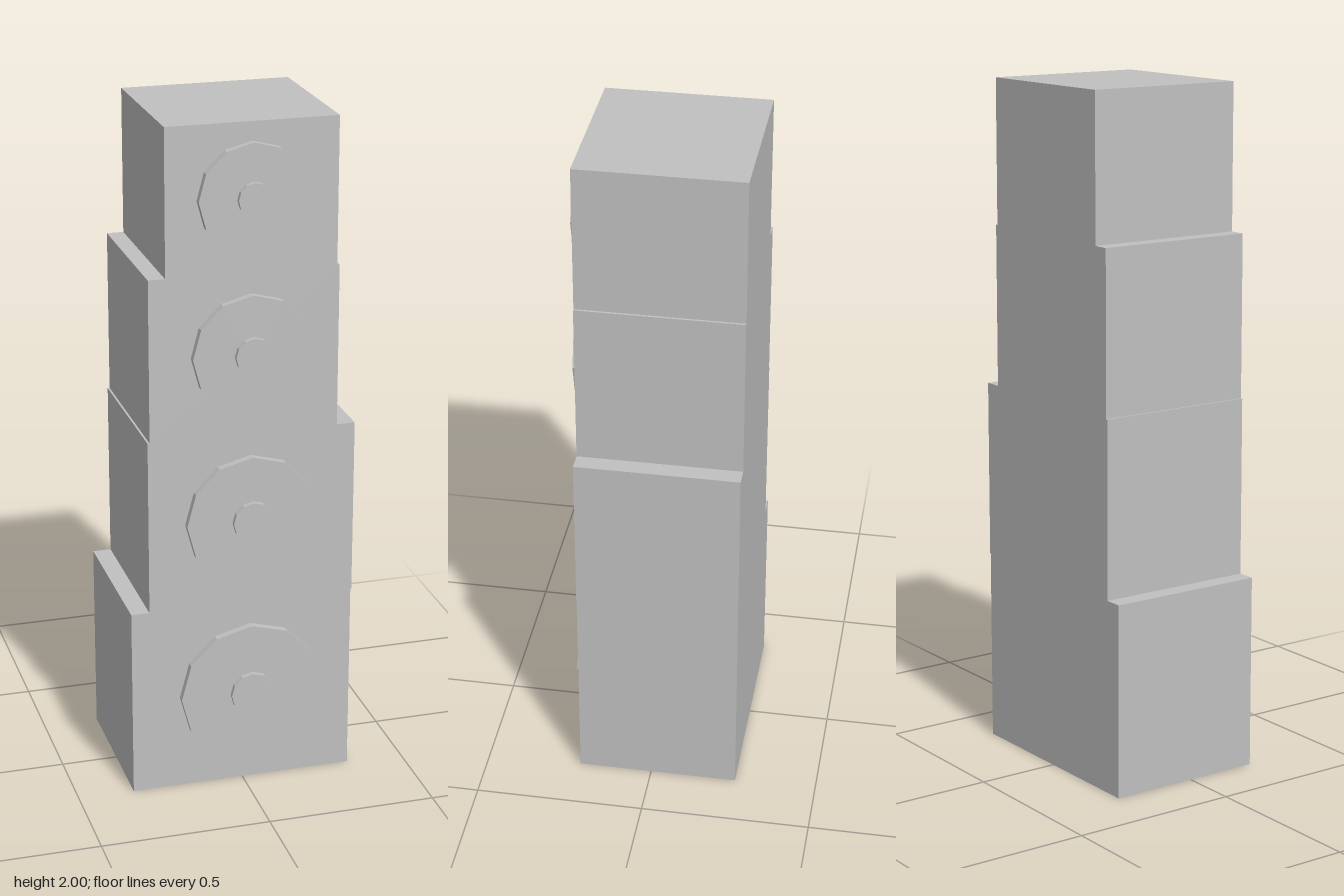
import * as THREE from 'three';

// One row per cabinet, bottom to top: vertical span, side limits, cone height and radii
const CABINETS = [
  { y0: 0, y1: 0.573, x0: -0.334, x1: 0.33, cy: 0.289, r: 0.213, hub: 0.065 },
  { y0: 0.573, y1: 1.096, x0: -0.28, x1: 0.333, cy: 0.836, r: 0.194, hub: 0.06 },
  { y0: 1.096, y1: 1.574, x0: -0.274, x1: 0.279, cy: 1.337, r: 0.175, hub: 0.054 },
  { y0: 1.574, y1: 2, x0: -0.225, x1: 0.272, cy: 1.789, r: 0.157, hub: 0.048 },
];
const BACK = -0.257, FRONT = 0.218, DISC_FRONT = 0.241, HUB_FRONT = 0.256;
const DISC_X = 0.022;

export function createModel() {
  const model = new THREE.Group();
  model.name = 'speakerStack';
  const grey = new THREE.MeshStandardMaterial({ color: 0xc0c0c0, flatShading: true });
  grey.name = 'lightGrey';

  // Twelve-sided disc facing +z, with a corner at the top
  const disc = (name, r, y, z0, z1) => {
    const geometry = new THREE.CylinderGeometry(r, r, z1 - z0, 12).rotateX(Math.PI / 2);
    const mesh = new THREE.Mesh(geometry, grey);
    mesh.name = name;
    mesh.position.set(DISC_X, y, (z0 + z1) / 2);
    return mesh;
  };

  CABINETS.forEach((c, i) => {
    const unit = new THREE.Group();
    unit.name = `speaker${i + 1}`;

    // Cabinet box
    const box = new THREE.Mesh(new THREE.BoxGeometry(c.x1 - c.x0, c.y1 - c.y0, FRONT - BACK), grey);
    box.name = 'cabinet';
    box.position.set((c.x0 + c.x1) / 2, (c.y0 + c.y1) / 2, (FRONT + BACK) / 2);

    // Round driver and its centre cap
    unit.add(
      box,
      disc('driver', c.r, c.cy, FRONT, DISC_FRONT),
      disc('centreCap', c.hub, c.cy, DISC_FRONT, HUB_FRONT),
    );
    model.add(unit);
  });
  return model;
}
